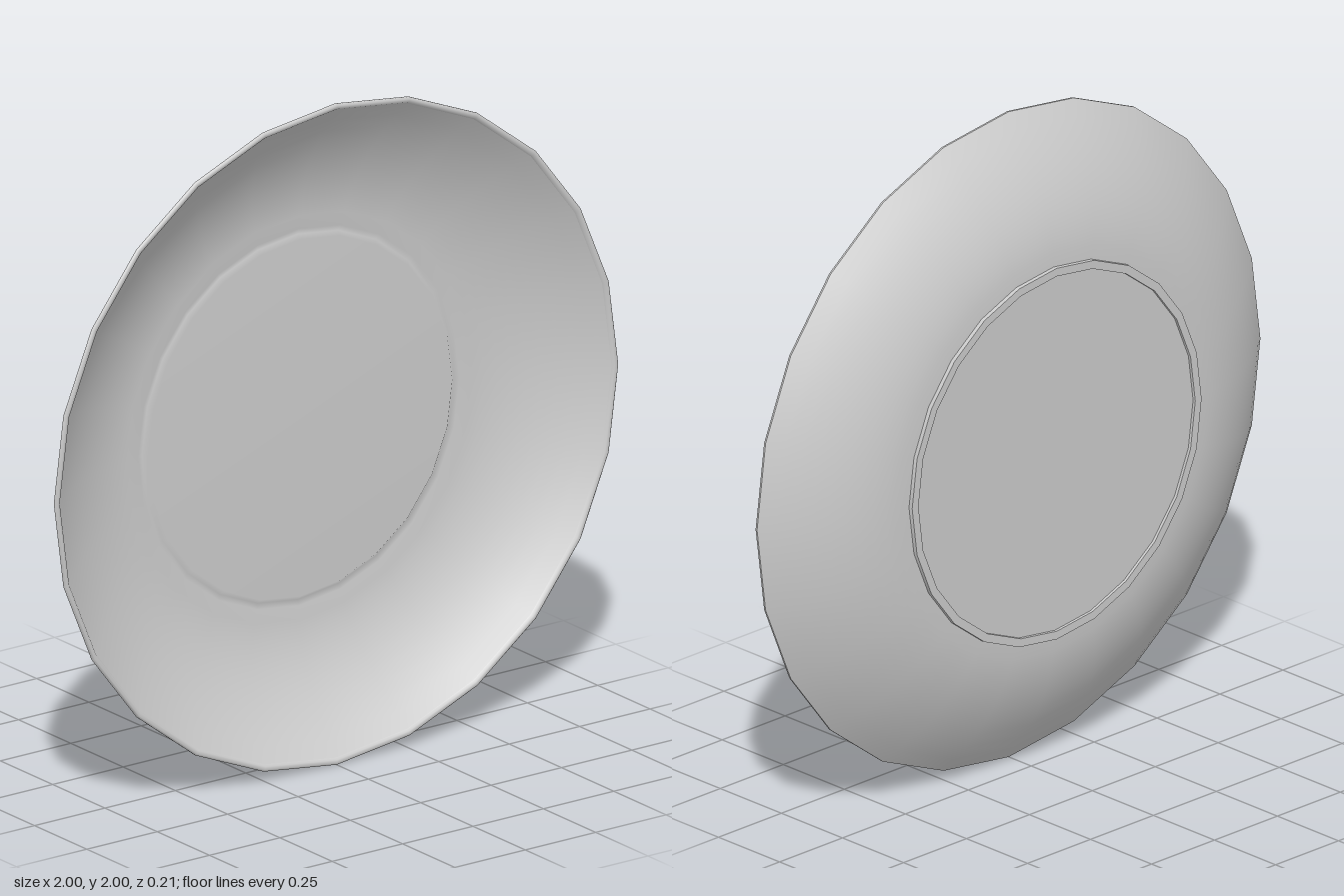
import * as THREE from 'three';

const SIDES = 24;
const material = new THREE.MeshStandardMaterial({ color: 0xcccccc, side: THREE.DoubleSide });

// Profile points are [radius, z]; the dish axis runs along z.
function turned(name, profile) {
  const points = profile.map(([r, z]) => new THREE.Vector2(r, z));
  const geometry = new THREE.LatheGeometry(points, SIDES);
  geometry.rotateX(Math.PI / 2);
  geometry.translate(0, 1, 0);
  const mesh = new THREE.Mesh(geometry, material);
  mesh.name = name;
  return mesh;
}

// Curved flank sweeping from the foot out to the rim.
function flank(r0, z0, r1, z1, steps = 10) {
  return Array.from({ length: steps + 1 }, (_, i) => {
    const t = i / steps;
    return [r0 + (r1 - r0) * t, z0 + (z1 - z0) * t ** 1.9];
  });
}

export function createModel() {
  const group = new THREE.Group();
  group.name = 'plate';

  // Back of the bowl
  group.add(turned('outerBowl', flank(0.575, -0.092, 1, 0.092)));

  // Thin rounded lip
  group.add(turned('rim', [[1, 0.092], [1, 0.098], [0.994, 0.102], [0.985, 0.1], [0.98, 0.093]]));

  // Inside of the bowl, shallow groove and slightly raised centre, shaded as one surface
  const inside = flank(0.57, -0.083, 0.98, 0.093).reverse();
  group.add(turned('innerBowl', [...inside, [0.553, -0.088], [0.54, -0.076], [0, -0.076]]));

  // Foot ring with crisp edges around a recessed base
  const foot = [[0.55, -0.096], [0.55, -0.105], [0.575, -0.105], [0.575, -0.09]];
  for (let i = 0; i < foot.length - 1; i++) {
    group.add(turned('footRing', [foot[i], foot[i + 1]]));
  }
  group.add(turned('base', [[0, -0.096], [0.55, -0.096]]));

  return group;
}
